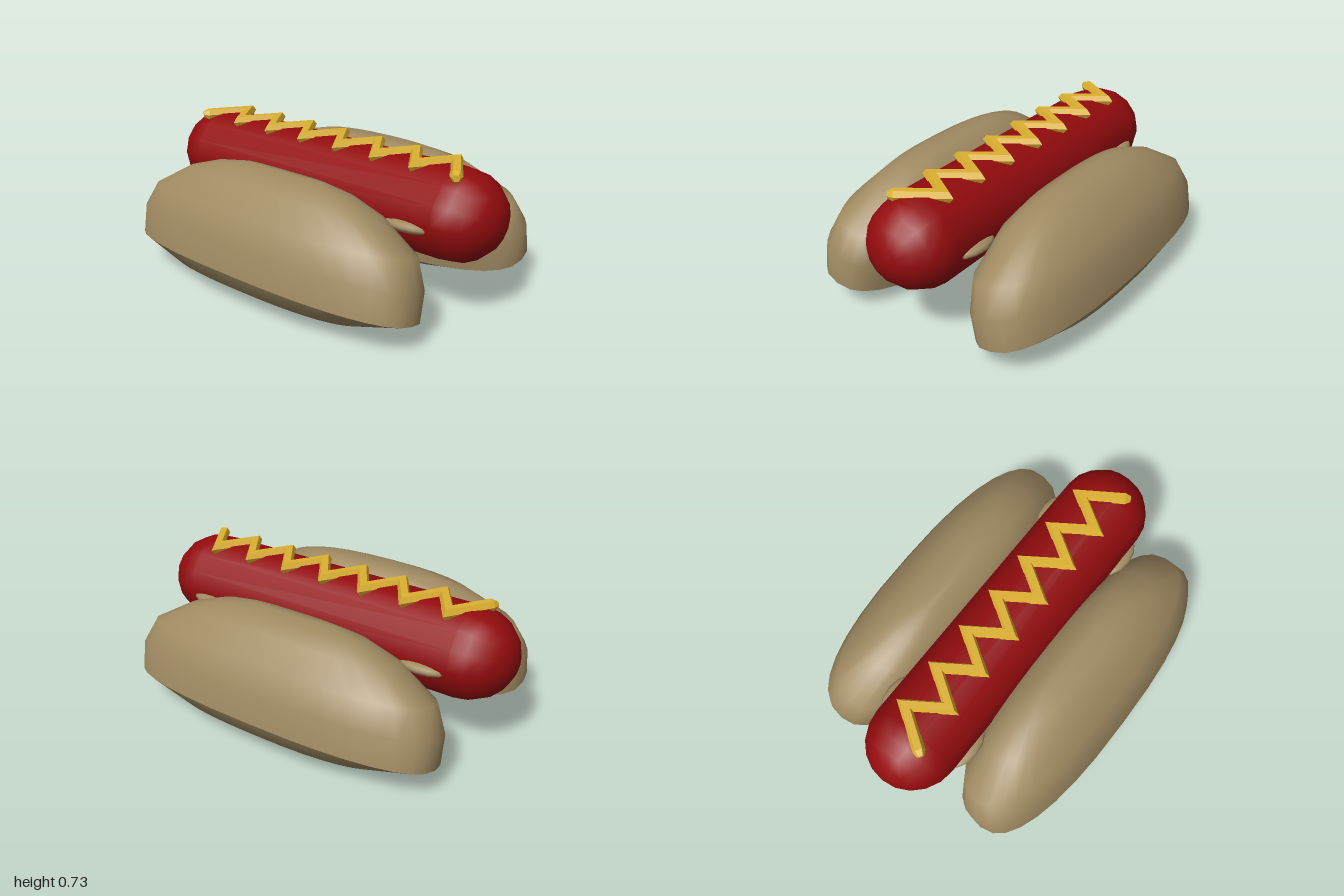
import * as THREE from 'three';

const V = (x, y, z) => new THREE.Vector3(x, y, z);

// Skin a list of equal-length closed rings, optionally closing either end with a fan.
function loft(rings, capStart, capEnd, flat = false) {
  const n = rings[0].length, pts = rings.flat(), idx = [];
  for (let r = 0; r < rings.length - 1; r++) {
    for (let i = 0; i < n; i++) {
      const a = r * n + i, b = r * n + (i + 1) % n;
      idx.push(a, b, a + n, b, b + n, a + n);
    }
  }
  const cap = (r, flip) => {
    const c = V(0, 0, 0);
    rings[r].forEach(p => c.addScaledVector(p, 1 / n));
    pts.push(c);
    for (let i = 0; i < n; i++) {
      const a = r * n + i, b = r * n + (i + 1) % n;
      idx.push(pts.length - 1, flip ? b : a, flip ? a : b);
    }
  };
  if (capStart) cap(0, true);
  if (capEnd) cap(rings.length - 1, false);
  // Turn the faces outward if the enclosed volume is negative
  const mid = capStart ? pts[pts.length - 1] : rings[0].reduce((s, p) => s.addScaledVector(p, 1 / n), V(0, 0, 0));
  let volume = 0;
  for (let i = 0; i < idx.length; i += 3) {
    const [a, b, c] = [0, 1, 2].map(k => pts[idx[i + k]].clone().sub(mid));
    volume += a.dot(b.cross(c));
  }
  if (volume < 0) idx.reverse();
  let g = new THREE.BufferGeometry().setFromPoints(pts);
  g.setIndex(idx);
  if (flat) g = g.toNonIndexed();
  g.computeVertexNormals();
  return g;
}

// Oval ring of the bun in its tilted frame: height v, width from u0 to u1, half length len
function bunRing(side, [v, u0, u1, len]) {
  const ring = [], tilt = 0.251, c = Math.cos(tilt), s = Math.sin(tilt);
  const power = t => Math.sign(t) * Math.abs(t) ** 0.8;
  for (let i = 0; i < 32; i++) {
    const a = i / 32 * Math.PI * 2;
    const u = (u0 + u1) / 2 + (u1 - u0) / 2 * power(Math.cos(a));
    ring.push(V(side * (0.4625 + u * c - v * s), 0.13 + u * s + v * c, len * power(Math.sin(a))));
  }
  return ring;
}

export function createModel() {
  const model = new THREE.Group();
  const bread = new THREE.MeshStandardMaterial({ color: 0xa08a62 });
  const meat = new THREE.MeshStandardMaterial({ color: 0x930b0d });
  const mustard = new THREE.MeshStandardMaterial({ color: 0xdcb030 });
  bread.name = 'bread';
  meat.name = 'sausageRed';
  mustard.name = 'mustardYellow';
  const add = (parent, name, geometry, material) => {
    const mesh = new THREE.Mesh(geometry, material);
    mesh.name = name;
    parent.add(mesh);
    return mesh;
  };

  // Sausage lying along z
  const sausage = new THREE.CapsuleGeometry(0.235, 1.53, 5, 14);
  sausage.rotateX(Math.PI / 2).scale(1, 0.95, 1).translate(0, 0.487, 0);
  add(model, 'sausage', sausage, meat);

  // Bun halves: a tall dome over a shallow base, meeting at a sharp rim
  const dome = [
    [0, -0.27, 0.27, 0.86], [0.15, -0.264, 0.285, 0.86], [0.28, -0.245, 0.262, 0.8],
    [0.41, -0.175, 0.192, 0.59], [0.468, -0.106, 0.12, 0.42], [0.496, -0.03, 0.04, 0.25],
  ];
  const base = [[0, -0.27, 0.27, 0.86], [-0.08, -0.2, 0.195, 0.6], [-0.11, -0.1, 0.1, 0.32]];
  for (const side of [1, -1]) {
    const half = new THREE.Group();
    half.name = side > 0 ? 'leftBunHalf' : 'rightBunHalf';
    model.add(half);
    add(half, 'bunDome', loft(dome.map(r => bunRing(side, r)), false, true), bread);
    add(half, 'bunBase', loft(base.map(r => bunRing(side, r)), false, true), bread);
    // Small bread folds peeking out beside the sausage
    for (const end of [1, -1]) {
      const fold = add(half, 'bunFold', new THREE.SphereGeometry(1, 12, 8), bread);
      fold.scale.set(0.075, 0.032, 0.125);
      fold.position.set(side * 0.2, 0.457, end * 0.63);
      fold.rotation.z = side * 0.15;
    }
  }

  // Mustard zigzag with mitred corners and a bevelled section
  const path = [];
  for (let i = 0; i < 15; i++) path.push(V(i % 2 ? 0.09 : -0.08, 0.7, (i - 7) * 0.1143));
  path[0].set(-0.095, 0.7, -0.81);
  path[14].set(-0.095, 0.7, 0.805);
  const section = [[0.03, 0], [0.017, 0.027], [-0.017, 0.027], [-0.03, 0], [-0.017, -0.027], [0.017, -0.027]];
  const rings = path.map((p, i) => {
    const before = p.clone().sub(path[Math.max(i - 1, 0)]).normalize();
    const after = path[Math.min(i + 1, 14)].clone().sub(p).normalize();
    const along = before.clone().add(after).normalize();
    const across = V(along.z, 0, -along.x);
    const stretch = 1 / along.dot(i < 14 ? after : before);
    return section.map(([w, h]) => p.clone().addScaledVector(across, w * stretch).add(V(0, h, 0)));
  });
  // Rounded tips
  const tip = (ring, from, to) => {
    const dir = to.clone().sub(from).normalize();
    return ring.map(q => q.clone().sub(to).multiplyScalar(0.55).add(to).addScaledVector(dir, 0.028));
  };
  rings.unshift(tip(rings[0], path[1], path[0]));
  rings.push(tip(rings[15], path[13], path[14]));
  add(model, 'mustardZigzag', loft(rings, true, true, true), mustard);

  return model;
}
